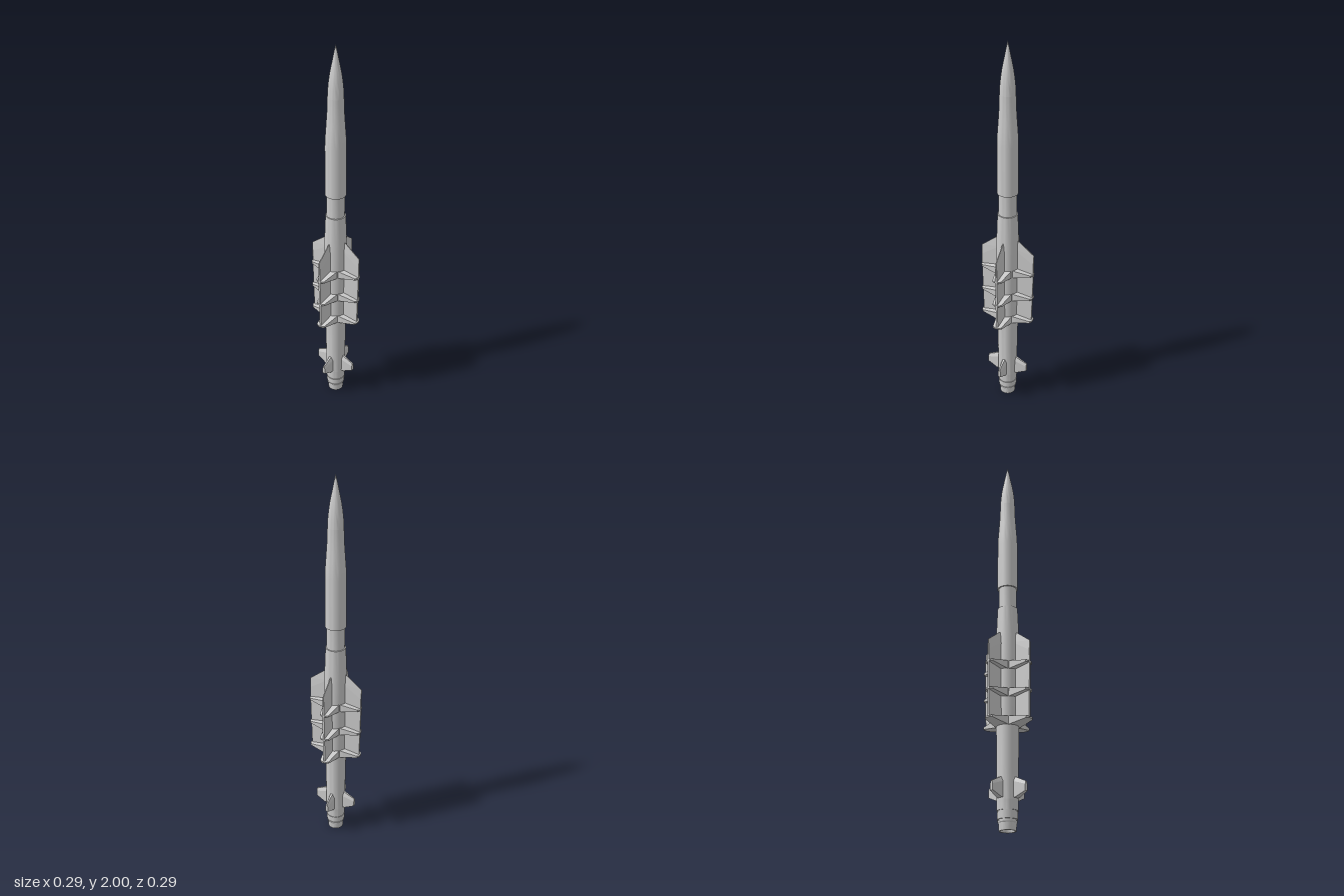
import * as THREE from 'three';
import { toCreasedNormals } from 'three/addons/utils/BufferGeometryUtils.js';
import { ConvexGeometry } from 'three/addons/geometries/ConvexGeometry.js';

const smooth = new THREE.MeshStandardMaterial({ color: 0xcccccc, side: THREE.DoubleSide });
const flat = new THREE.MeshStandardMaterial({ color: 0xcccccc, flatShading: true });

// Round part from [radius, height] pairs, bottom to top
function turned(name, profile) {
  const points = profile.map(([r, y]) => new THREE.Vector2(r, y));
  const mesh = new THREE.Mesh(toCreasedNormals(new THREE.LatheGeometry(points, 40), 0.35), smooth);
  mesh.name = name;
  return mesh;
}

// Faceted part along +x; each [x, y, halfWidth] gives a mirrored pair of corners
function faceted(name, corners) {
  const points = corners.flatMap(([x, y, w]) => [
    new THREE.Vector3(x, y, w), new THREE.Vector3(x, y, -w)]);
  const mesh = new THREE.Mesh(new ConvexGeometry(points), flat);
  mesh.name = name;
  return mesh;
}

export function createModel() {
  const model = new THREE.Group();
  model.name = 'missile';

  // Hollow nozzle, grooved tail section and booster body
  model.add(turned('nozzle', [
    [0, 0.06], [0.028, 0.06], [0.034, 0], [0.04, 0], [0.043, 0.035], [0.046, 0.04],
    [0.046, 0.046], [0.043, 0.046], [0.043, 0.052], [0.048, 0.052], [0.049, 0.085],
    [0.046, 0.085], [0.046, 0.092], [0.05, 0.092], [0.051, 0.14]]));
  model.add(turned('boosterBody', [
    [0.051, 0.14], [0.052, 0.3], [0.055, 0.5], [0.058, 0.8], [0.057, 0.97],
    [0.051, 1.125], [0.045, 1.125]]));

  // Narrow neck, upper body and pointed nose
  model.add(turned('neck', [[0.045, 1.12], [0.045, 1.25]]));
  model.add(turned('upperBody', [
    [0.045, 1.24], [0.052, 1.24], [0.052, 1.5], [0.05, 1.55], [0.045, 1.62],
    [0.041, 1.68], [0.039, 1.75]]));
  model.add(turned('noseCone', [
    [0.039, 1.75], [0.037, 1.79], [0.033, 1.83], [0.027, 1.87], [0.019, 1.91],
    [0.011, 1.95], [0.005, 1.98], [0, 2]]));

  for (let i = 0; i < 4; i++) {
    const quarter = new THREE.Group();
    quarter.name = 'finSet' + (i + 1);
    quarter.rotation.y = i * Math.PI / 2;

    // Long wing with a sharp swept leading edge
    quarter.add(faceted('wing', [
      [0.04, 0.985, 0.002], [0.065, 0.975, 0.002], [0.145, 0.912, 0.002],
      [0.04, 0.93, 0.008], [0.143, 0.86, 0.005],
      [0.144, 0.8, 0.005], [0.137, 0.513, 0.005], [0.04, 0.5, 0.008]]));

    // Cross plates, thick at the body and thin at the tip
    for (const y of [0.799, 0.656, 0.514]) {
      const plate = faceted('crossPlate', [1, -1].flatMap((s) => [
        [0.04, s * 0.021, 0.039], [0.06, s * 0.018, 0.037],
        [0.135, s * 0.005, 0.024], [0.144, s * 0.004, 0.011]]));
      plate.position.y = y;
      quarter.add(plate);
    }

    // Small wedge-shaped steering fin
    quarter.add(faceted('tailFin', [
      [0.04, 0.25, 0.006], [0.04, 0.225, 0.016], [0.04, 0.147, 0.016],
      [0.06, 0.147, 0.015], [0.113, 0.215, 0.003], [0.113, 0.2, 0.008], [0.113, 0.17, 0.008]]));
    model.add(quarter);
  }
  return model;
}
